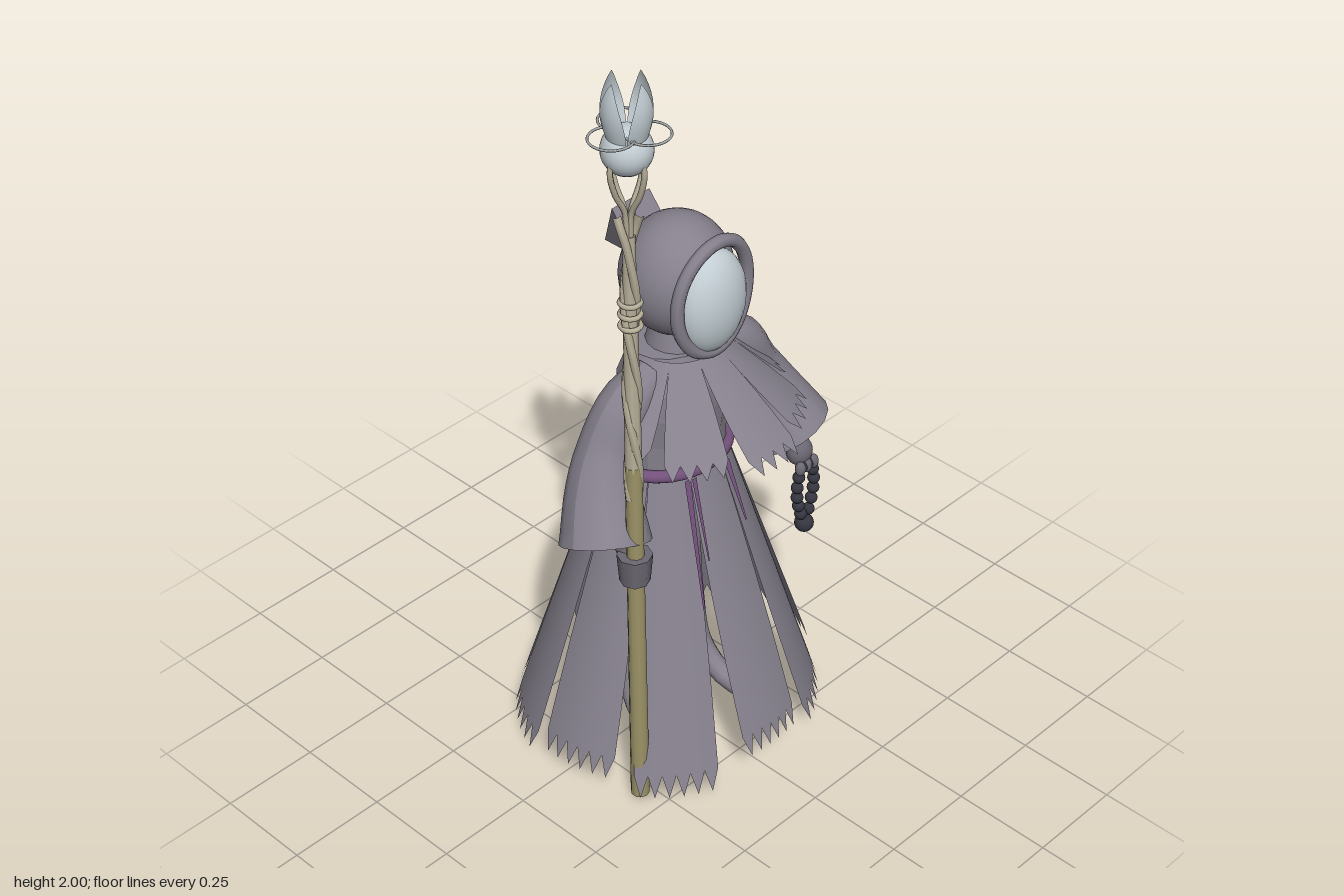
import * as THREE from 'three';

const mat = (name, color, extra = {}) => {
  const m = new THREE.MeshStandardMaterial({ color, ...extra });
  m.name = name;
  return m;
};
const V = (x, y, z) => new THREE.Vector3(x, y, z);

// Open grid: u runs left to right seen from outside, v runs downwards
function surface(nu, nv, fn) {
  const pos = [], idx = [];
  for (let j = 0; j <= nv; j++)
    for (let i = 0; i <= nu; i++) pos.push(...fn(i / nu, j / nv, i, j));
  for (let j = 0; j < nv; j++)
    for (let i = 0; i < nu; i++) {
      const a = j * (nu + 1) + i, b = a + nu + 1;
      idx.push(a, b, a + 1, a + 1, b, b + 1);
    }
  const g = new THREE.BufferGeometry();
  g.setAttribute('position', new THREE.Float32BufferAttribute(pos, 3));
  g.setIndex(idx);
  g.computeVertexNormals();
  return g;
}

// Hanging cloth strip with a toothed lower edge
function clothPanel({ angle, top, bottom, halfTop, halfBottom, teeth, notch, cz = 0 }) {
  return surface(teeth * 2, 4, (u, v, i, j) => {
    const t = j === 4 ? (i % 2 ? 1 : 1 - notch) : v * (1 - notch) * 0.95;
    const a = angle + (u * 2 - 1) * THREE.MathUtils.lerp(halfTop, halfBottom, t);
    const mix = k => THREE.MathUtils.lerp(top[k], bottom[k], t);
    return [Math.sin(a) * mix(0), mix(1), cz + Math.cos(a) * mix(2)];
  });
}

// Tube of changing radius through points
function loft(points, radii, nu = 16, nv = 14) {
  const path = new THREE.CatmullRomCurve3(points);
  const n = radii.length - 1;
  return surface(nu, nv, (u, v) => {
    const c = path.getPoint(v), t = path.getTangent(v);
    const k = Math.min(Math.floor(v * n), n - 1);
    const r = THREE.MathUtils.lerp(radii[k], radii[k + 1], v * n - k);
    const a = t.clone().cross(V(0, 0, 1)).normalize();
    const b = a.clone().cross(t);
    const th = u * Math.PI * 2;
    return c.addScaledVector(a, r * Math.cos(th)).addScaledVector(b, r * Math.sin(th)).toArray();
  });
}
const tube = (pts, r, seg = 20, sides = 6, closed = false) =>
  new THREE.TubeGeometry(new THREE.CatmullRomCurve3(pts, closed), seg, r, sides, closed);

export function createModel() {
  const root = new THREE.Group();
  root.name = 'robedFigure';
  const two = { side: THREE.DoubleSide };
  const robe = mat('robeGrey', 0x85808c, two);
  const robeFacet = mat('torsoGrey', 0x85808c, { flatShading: true });
  const pale = mat('paleMask', 0xc2cdd3, two);
  const purple = mat('sashPurple', 0x74517c, two);
  const black = mat('beadBlack', 0x34353f);
  const hand = mat('handGrey', 0x6c6873);
  const wood = mat('lowerWood', 0x9d9468);
  const paleWood = mat('upperWood', 0xb9b19b);
  const metal = mat('ringMetal', 0xa3a8a8);
  const add = (name, geo, m, parent = root) => {
    const mesh = new THREE.Mesh(geo, m);
    mesh.name = name;
    parent.add(mesh);
    return mesh;
  };
  const ball = (name, r, p, m, s = [1, 1, 1], parent = root) => {
    const b = add(name, new THREE.SphereGeometry(r, 24, 16), m, parent);
    b.position.set(...p);
    b.scale.set(...s);
    return b;
  };

  // Head, mask, hood rim and hood point
  ball('hood', 0.135, [0, 1.312, 0.03], robe, [1, 1.1, 0.98]);
  ball('mask', 0.1, [0, 1.285, 0.135], pale, [0.97, 1.32, 0.64]);
  const rim = [];
  for (let i = 0; i < 20; i++) {
    const a = i / 20 * Math.PI * 2, c = Math.cos(a), s = Math.sin(a);
    rim.push(V(0.113 * c, 1.3 + 0.142 * s, 0.165 - 0.025 * c * c - 0.015 * s * s));
  }
  add('hoodRim', tube(rim, 0.016, 48, 8, true), robe);
  const point = add('hoodPoint', new THREE.ConeGeometry(0.085, 0.16, 4, 1).rotateY(Math.PI / 4), robeFacet);
  point.position.set(0, 1.345, -0.138);
  point.quaternion.setFromUnitVectors(V(0, 1, 0), V(0, -0.64, -0.77).normalize());
  add('neck', new THREE.CylinderGeometry(0.06, 0.08, 0.08, 16), robe).position.set(0, 1.15, 0.03);

  // Torso
  const profile = [[0.138, 0.8], [0.138, 0.9], [0.148, 0.98], [0.146, 1.05], [0.11, 1.135], [0, 1.14]];
  const torso = add('torso', new THREE.LatheGeometry(profile.map(p => new THREE.Vector2(...p)), 16), robeFacet);
  torso.scale.z = 0.8;
  torso.position.z = 0.02;

  // Skirt of nine strips
  const skirt = new THREE.Group();
  skirt.name = 'skirt';
  root.add(skirt);
  const deg = Math.PI / 180;
  for (let i = -4; i <= 4; i++) {
    const k = Math.abs(i);
    const y = [0.1, 0.03, 0.08, 0.03, 0.03][k];
    add('skirtStrip', clothPanel({
      angle: i * 40 * deg, top: [0.145, 0.83, 0.125], bottom: [0.395, y, 0.365],
      halfTop: 20 * deg, halfBottom: [13, 16, 16, 16, 17.5][k] * deg, teeth: 6, notch: 0.07,
    }), robe, skirt);
  }

  // Front cape of five strips
  for (let i = -2; i <= 2; i++) {
    const k = Math.abs(i), r = [0.33, 0.3, 0.27][k];
    add('capeStrip', clothPanel({
      angle: i * 37 * deg, top: [0.105, 1.135, 0.1], bottom: [r, [0.94, 0.945, 0.97][k], r],
      halfTop: 19 * deg, halfBottom: [13, 15, 13][k] * deg, teeth: 4, notch: 0.14, cz: 0.035,
    }), robe);
  }

  // Sash and its hanging ends
  const sash = add('sash', new THREE.TorusGeometry(0.155, 0.016, 10, 40).rotateX(Math.PI / 2), purple);
  sash.position.y = 0.825;
  sash.scale.z = 0.86;
  const ribbons = [[-0.075, -0.115, 0.51, 0.02], [-0.06, -0.075, 0.62, 0.014], [0.045, 0.062, 0.66, 0.016]];
  for (const [x0, x1, y1, w] of ribbons)
    add('sashEnd', surface(1, 6, (u, v) => {
      const y = THREE.MathUtils.lerp(0.82, y1, v), x = THREE.MathUtils.lerp(x0, x1, v);
      const rz = 0.14 + (0.83 - y) * 0.33;
      return [x + (u - 0.5) * w * (1 - v * 0.7), y, rz * Math.sqrt(1 - (x / (rz + 0.02)) ** 2) + 0.012];
    }), purple);

  // Sleeves, forearms, legs
  for (const s of [1, -1]) {
    const side = s > 0 ? 'left' : 'right';
    add(side + 'Sleeve', loft([V(s * 0.1, 1.09, 0.045), V(s * 0.18, 1.05, 0.045), V(s * 0.235, 0.95, 0.04),
      V(s * 0.275, 0.86, 0.06), V(s * 0.31, 0.755, 0.105)], [0.045, 0.062, 0.07, 0.085, 0.108]), robe);
    add(side + 'Forearm', tube([V(s * 0.25, 0.92, 0.05), V(s * 0.285, 0.8, 0.11), V(s * 0.288, 0.73, 0.165)], 0.025, 10, 8), hand);
    add(side + 'Leg', tube([V(s * 0.07, 0.7, 0), V(s * 0.11, 0.3, -0.02), V(s * 0.125, 0.12, 0.0),
      V(s * 0.135, 0.05, 0.06), V(s * 0.145, 0.03, 0.125)], 0.028, 24, 10), robe);
    ball(side + 'Toe', 0.028, [s * 0.145, 0.03, 0.125], robe);
  }

  // Hands
  const grip = add('rightHand', new THREE.CylinderGeometry(0.042, 0.036, 0.075, 8), hand);
  grip.position.set(-0.293, 0.715, 0.182);
  ball('leftPalm', 0.034, [0.285, 0.725, 0.165], hand, [1, 1.1, 0.9]);
  for (let i = 0; i < 3; i++)
    ball('leftFinger', 0.013, [0.262 + i * 0.023, 0.695, 0.19], hand, [1, 1.5, 1]);

  // Prayer beads in a hanging loop
  const beads = new THREE.Group();
  beads.name = 'beads';
  root.add(beads);
  for (let i = 0; i < 6; i++)
    for (const s of [-1, 1]) {
      const bow = 0.012 + 0.018 * Math.sin((i + 0.4) / 5.6 * Math.PI);
      ball('bead', 0.0155, [0.288 + s * bow, 0.695 - i * 0.029, 0.185], black, [1, 1, 1], beads);
    }
  ball('endBead', 0.024, [0.288, 0.515, 0.185], black, [1, 1, 1], beads);

  // Staff
  const staff = new THREE.Group();
  staff.name = 'staff';
  root.add(staff);
  const S = (y, r = 0, a = 0) => V(-0.284 - 0.0135 * y + r * Math.cos(a), y, 0.185 + r * Math.sin(a));
  const shaft = add('staffShaft', new THREE.CylinderGeometry(0.02, 0.023, 1.0, 10), wood, staff);
  shaft.position.copy(S(0.51));
  shaft.rotation.z = 0.0135;
  const core = add('staffCore', new THREE.CylinderGeometry(0.014, 0.02, 0.62, 8), paleWood, staff);
  core.position.copy(S(1.31));
  core.rotation.z = 0.0135;
  for (let k = 0; k < 2; k++) {
    const twist = [];
    for (let i = 0; i <= 24; i++) {
      const t = i / 24;
      twist.push(S(0.92 + t * 0.75, 0.013 + Math.max(0, t - 0.9) * 0.12, t * 10 + k * Math.PI));
    }
    add('staffTwist', tube(twist, 0.0105, 80, 6), paleWood, staff);
  }
  for (const y of [1.39, 1.42, 1.45]) {
    const ring = add('staffBinding', new THREE.TorusGeometry(0.023, 0.006, 6, 16).rotateX(Math.PI / 2), paleWood, staff);
    ring.position.copy(S(y));
  }
  for (let k = 0; k < 4; k++) {
    const a = k * Math.PI / 2;
    add('staffProng', tube([S(1.6, 0.004, a), S(1.68, 0.01, a), S(1.73, 0.035, a), S(1.785, 0.05, a),
      S(1.81, 0.048, a)], 0.007, 16, 5), paleWood, staff);
  }

  // Orb, pointed petals and thin rings
  const c = S(1.83);
  ball('orb', 0.057, c.toArray(), pale, [1, 1, 1], staff);
  for (let k = 0; k < 4; k++)
    add('petal', surface(6, 10, (u, v) => {
      const half = 0.76 * Math.pow(Math.sin(v * Math.PI / 2), 0.7);
      const r = 0.042 + 0.014 * Math.sin(v * Math.PI);
      const a = k * Math.PI / 2 + (u * 2 - 1) * half;
      return [c.x + Math.sin(a) * r, 2 - v * 0.145, c.z + Math.cos(a) * r];
    }), pale, staff);
  for (let k = 0; k < 3; k++) {
    const a = 1.05 + k * Math.PI * 2 / 3;
    const ring = add('floatingRing', new THREE.TorusGeometry(0.049, 0.003, 6, 32).rotateX(Math.PI / 2), metal, staff);
    ring.position.set(c.x + 0.045 * Math.cos(a), 1.875, c.z + 0.045 * Math.sin(a));
  }
  return root;
}
